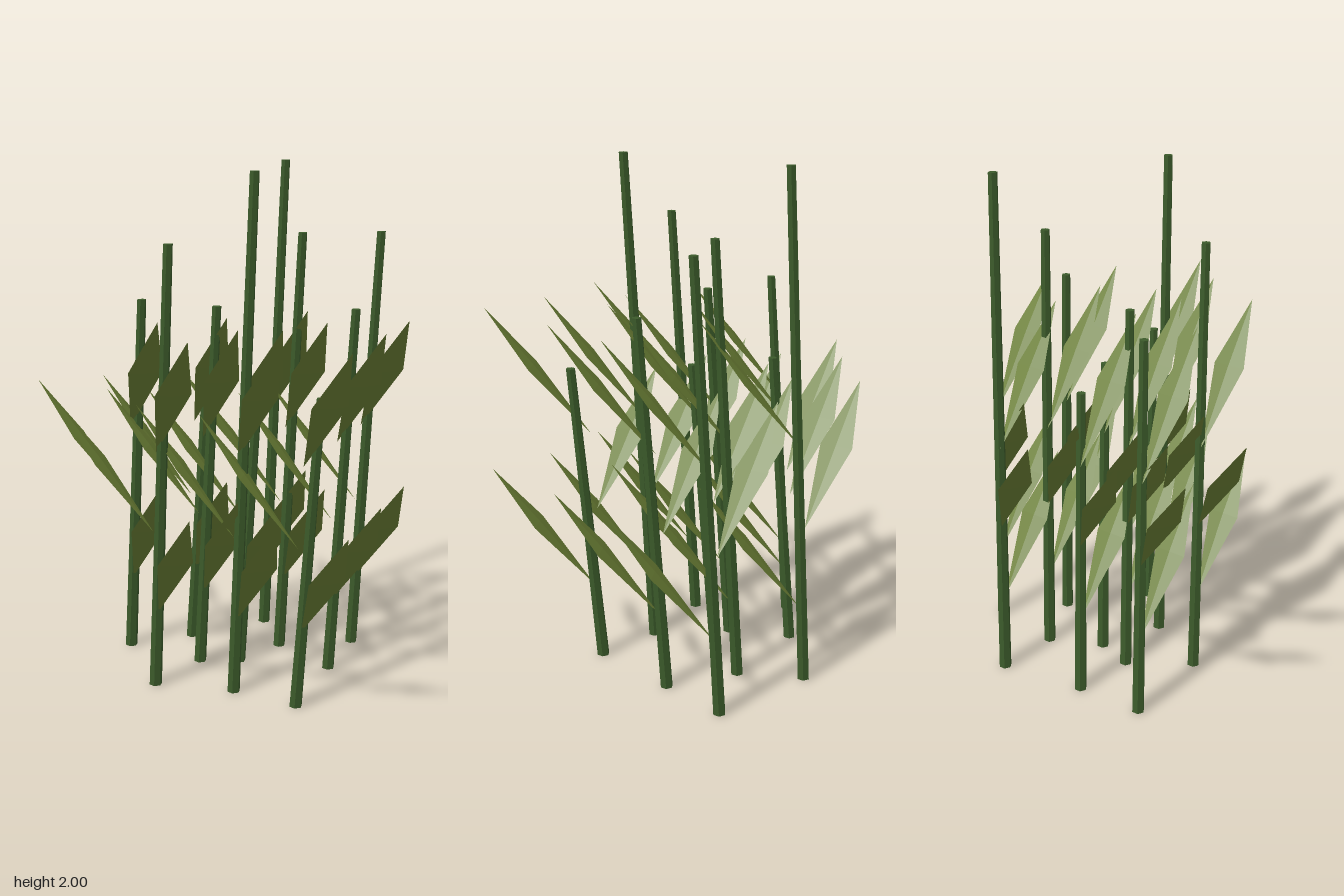
import * as THREE from 'three';

const LEAN = 0.1; // forward drift of every stem from root to top

// Root x, root z and height of each stem
const STEMS = [
  [-0.15, -0.455, 1.48], [0.09, -0.33, 1.22], [0.415, -0.205, 2],
  [-0.345, -0.11, 1.74], [-0.07, -0.13, 1.48], [0.037, -0.01, 1.22],
  [0.265, 0.01, 1.74], [0.5, 0.21, 1.74], [0.23, 0.3, 1.48],
  [-0.12, 0.42, 1.22], [-0.185, 0.16, 2],
];

// Tapered six-sided stem, sheared forward
function stemGeometry(height) {
  const g = new THREE.CylinderGeometry(0.018, 0.025, height, 6);
  g.translate(0, height / 2, 0);
  const p = g.attributes.position;
  for (let i = 0; i < p.count; i++) {
    p.setZ(i, p.getZ(i) + LEAN * p.getY(i) / height);
  }
  g.computeVertexNormals();
  return g;
}

// Thin diamond blade with a faint midrib on both faces; side = 1 leans forward, -1 back
function leafGeometry(side) {
  const v = (x, y, z) => new THREE.Vector3(x, y, 0.017 + side * z);
  const base = v(-0.005, 0, 0.01);
  const tip = v(-0.177, 0.49, 0.35);
  const outer = v(-0.155, 0.268, 0.163);
  const inner = v(-0.042, 0.268, 0.235);
  const mid = outer.clone().add(inner).multiplyScalar(0.5);
  const normal = tip.clone().sub(base).cross(outer.clone().sub(inner)).normalize();
  const rim = [base, outer, tip, inner];
  const points = [];
  for (const face of [1, -1]) {
    const ridge = mid.clone().addScaledVector(normal, 0.006 * face);
    for (let i = 0; i < 4; i++) {
      const a = rim[i], b = rim[(i + 1) % 4];
      // Wind each facet so that it faces away from the blade's middle
      const out = b.clone().sub(a).cross(ridge.clone().sub(a)).dot(normal) * face > 0;
      points.push(...(out ? [a, b, ridge] : [b, a, ridge]));
    }
  }
  const g = new THREE.BufferGeometry().setFromPoints(points);
  g.computeVertexNormals();
  return g;
}

export function createModel() {
  const stemGreen = new THREE.MeshStandardMaterial({ color: 0x3b5a2a, flatShading: true });
  stemGreen.name = 'stemGreen';
  const leafGreen = new THREE.MeshStandardMaterial({ color: 0x6b7f35, flatShading: true });
  leafGreen.name = 'leafGreen';

  const forwardLeaf = leafGeometry(1);
  const backLeaf = leafGeometry(-1);
  const model = new THREE.Group();
  model.name = 'reeds';

  for (const [x, z, height] of STEMS) {
    const reed = new THREE.Group();
    reed.name = 'reed';
    reed.position.set(x, 0, z);

    const stem = new THREE.Mesh(stemGeometry(height), stemGreen);
    stem.name = 'stem';
    reed.add(stem);

    // Three leaves, alternating front, back, front up the stem
    for (let i = 0; i < 3; i++) {
      const leaf = new THREE.Mesh(i % 2 ? backLeaf : forwardLeaf, leafGreen);
      leaf.name = i % 2 ? 'backLeaf' : 'frontLeaf';
      leaf.position.y = 0.315 + i * 0.32;
      reed.add(leaf);
    }
    model.add(reed);
  }
  return model;
}
